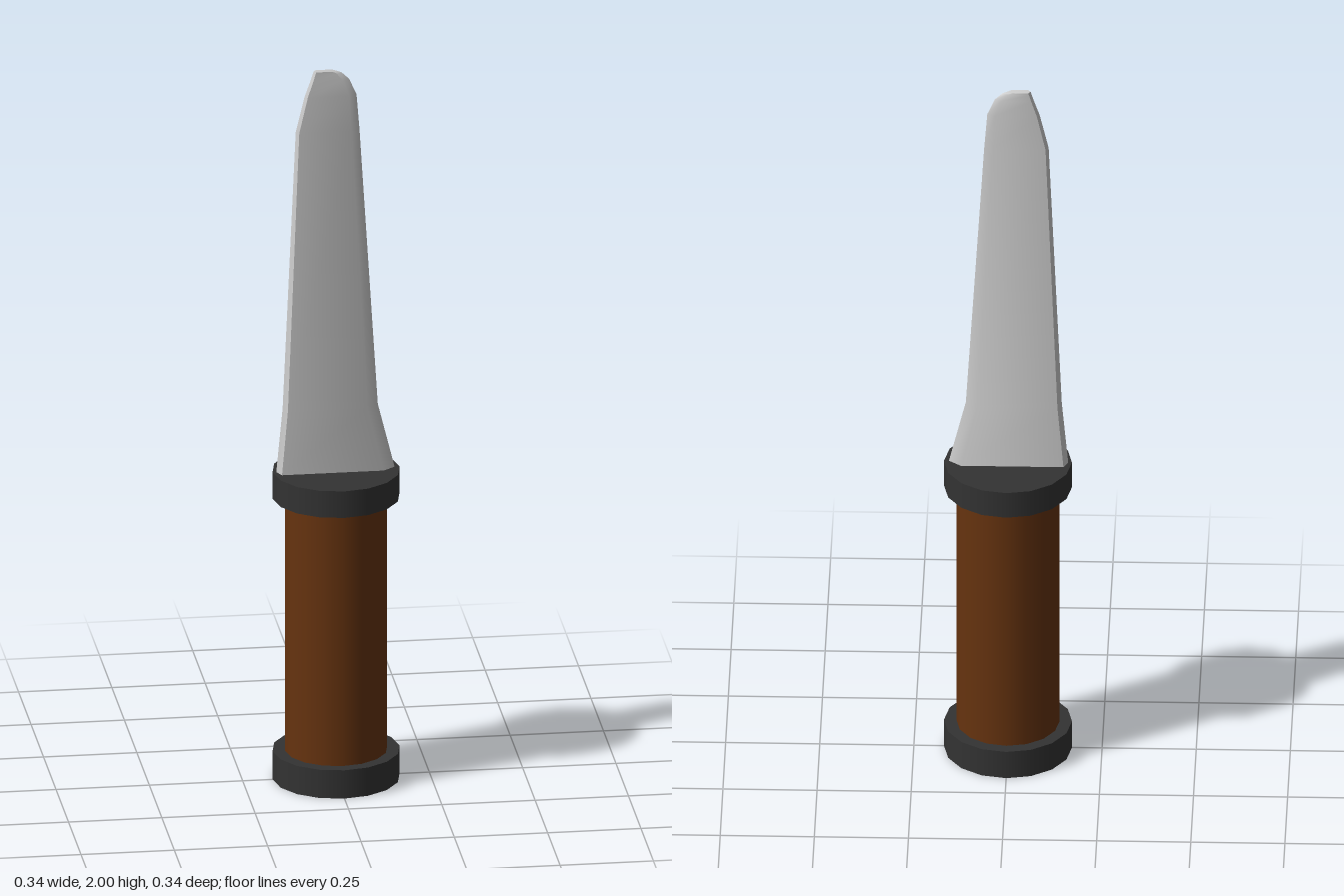
import * as THREE from 'three';
import { toCreasedNormals } from 'three/addons/utils/BufferGeometryUtils.js';

const steel = new THREE.MeshStandardMaterial({ color: 0xcccccc });
const wood = new THREE.MeshStandardMaterial({ color: 0x66330f });
const dark = new THREE.MeshStandardMaterial({ color: 0x333333 });

function addCylinder(group, name, radius, y0, y1, material) {
  const mesh = new THREE.Mesh(new THREE.CylinderGeometry(radius, radius, y1 - y0, 16), material);
  mesh.position.y = (y0 + y1) / 2;
  mesh.name = name;
  group.add(mesh);
}

// Blade lofted through six-sided sections, bevelled at the spine and the cutting edge
function bladeGeometry() {
  // height, spine x, edge x, half thickness, spine bevel, edge bevel
  const sections = [
    [0.85, -0.162, 0.162, 0.026, 0.012, 0.034],
    [0.87, -0.16, 0.157, 0.026, 0.012, 0.032],
    [1.05, -0.143, 0.112, 0.024, 0.011, 0.03],
    [1.83, -0.108, 0.063, 0.012, 0.008, 0.023],
    [1.93, -0.084, 0.055, 0.011, 0.007, 0.021],
    [1.975, -0.068, 0.035, 0.01, 0.006, 0.018],
    [1.994, -0.062, 0.015, 0.009, 0.006, 0.014],
    [2.0, -0.06, 0.0, 0.009, 0.006, 0.01],
  ];
  const positions = [];
  const index = [];
  for (const [y, l, r, t, bl, br] of sections) {
    positions.push(l, y, 0, l + bl, y, t, r - br, y, t, r, y, 0, r - br, y, -t, l + bl, y, -t);
  }
  for (let s = 0; s < sections.length - 1; s++) {
    for (let i = 0; i < 6; i++) {
      const a = s * 6 + i;
      const b = s * 6 + ((i + 1) % 6);
      index.push(a, b, b + 6, a, b + 6, a + 6);
    }
  }
  // end caps
  const top = (sections.length - 1) * 6;
  for (let i = 1; i < 5; i++) {
    index.push(top, top + i, top + i + 1, 0, i + 1, i);
  }
  const geometry = new THREE.BufferGeometry();
  geometry.setAttribute('position', new THREE.Float32BufferAttribute(positions, 3));
  geometry.setIndex(index);
  return toCreasedNormals(geometry, 0.95);
}

export function createModel() {
  const group = new THREE.Group();
  group.name = 'knife';

  addCylinder(group, 'pommel', 0.17, 0, 0.08, dark);
  addCylinder(group, 'grip', 0.137, 0.07, 0.81, wood);
  addCylinder(group, 'guard', 0.17, 0.795, 0.87, dark);

  const blade = new THREE.Mesh(bladeGeometry(), steel);
  blade.name = 'blade';
  group.add(blade);

  return group;
}
